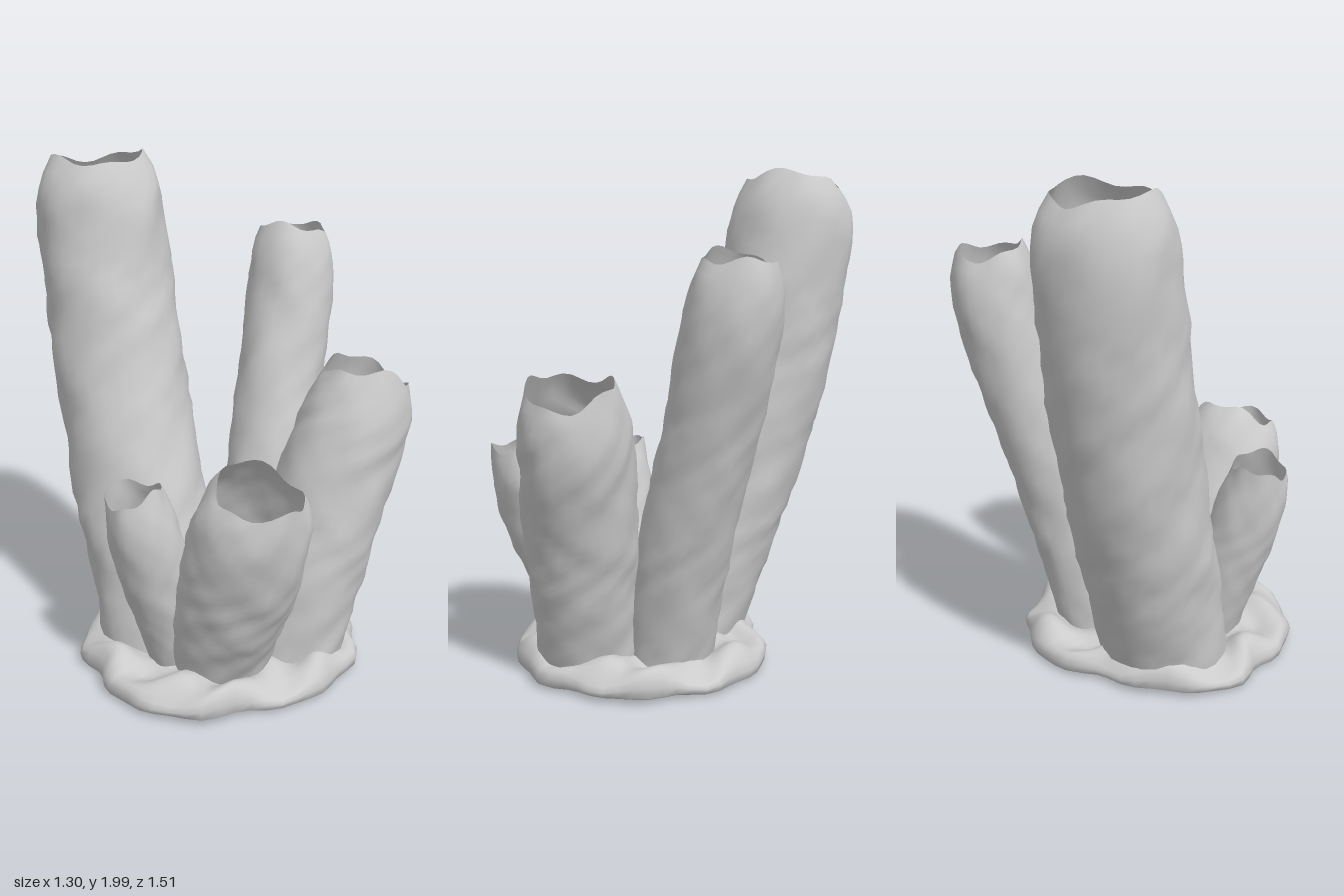
import * as THREE from 'three';

const material = new THREE.MeshStandardMaterial({ color: 0xcccccc, side: THREE.DoubleSide });
const V = (x, y, z) => new THREE.Vector3(x, y, z);

// Closed-around surface: point(v, angle) for v in 0..1, wrapped so normals stay smooth
function loftMesh(name, rings, sides, point) {
  const positions = [], index = [];
  for (let i = 0; i <= rings; i++) {
    for (let j = 0; j < sides; j++) {
      positions.push(...point(i / rings, (j / sides) * Math.PI * 2).toArray());
      if (i === rings) continue;
      const a = i * sides + j, b = i * sides + (j + 1) % sides;
      index.push(a, a + sides, b, b, a + sides, b + sides);
    }
  }
  const geometry = new THREE.BufferGeometry();
  geometry.setAttribute('position', new THREE.Float32BufferAttribute(positions, 3));
  geometry.setIndex(index);
  geometry.computeVertexNormals();
  const mesh = new THREE.Mesh(geometry, material);
  mesh.name = name;
  return mesh;
}

// Organic dimples, periodic around the angle and with no spiral drift
const lumps = (a, h, s) =>
  0.5 * Math.sin(3 * a + s + Math.sin(7 * h)) * Math.sin(11 * h + s) +
  0.5 * Math.sin(5 * a + 2 * s + 2 * Math.sin(9 * h + s)) * Math.cos(19 * h + 2 * s) +
  0.5 * Math.sin(8 * a + 3 * s + 2 * Math.sin(13 * h)) * Math.sin(31 * h) +
  0.2 * Math.sin(2 * a + s + 3 * Math.sin(6 * h));

// Hollow tube: swells along its path and draws in to an open, wavy mouth
function tube({ name, path, radii, wave, seed }) {
  const curve = new THREE.CatmullRomCurve3(path.map(p => V(...p)));
  const profile = new THREE.SplineCurve(radii.map(([t, r]) => new THREE.Vector2(t, r)));
  const samples = profile.getPoints(80);
  const radiusAt = t => {
    const k = Math.max(1, samples.findIndex(p => p.x >= t - 1e-6));
    const a = samples[k - 1], b = samples[k];
    return THREE.MathUtils.mapLinear(t, a.x, b.x, a.y, b.y);
  };
  const length = curve.getLength();
  return loftMesh(name, 34, 32, (t, a) => {
    const centre = curve.getPointAt(t);
    // Sections lie flat at the foot and turn square to the path higher up
    const axis = V(0, 1, 0).lerp(curve.getTangentAt(t), THREE.MathUtils.smoothstep(t, 0, 0.5)).normalize();
    const side = V(0, 0, 1).cross(axis).negate().normalize();
    const front = side.clone().cross(axis);
    const r = radiusAt(t) * (1 + 0.04 * lumps(a, t * length, seed));
    const rim = wave * t ** 12 * (Math.sin(2 * a + seed) + 0.5 * Math.sin(5 * a + 2 * seed));
    return centre.addScaledVector(side, -r * Math.cos(a))
      .addScaledVector(front, -r * Math.sin(a)).addScaledVector(axis, rim);
  });
}

const tubes = [
  { name: 'tallTube', seed: 1, wave: 0.02,
    path: [[-0.24, 0.05, -0.06], [-0.245, 0.5, -0.2], [-0.245, 1.1, -0.38], [-0.245, 1.7, -0.5], [-0.25, 1.96, -0.515]],
    radii: [[0, 0.255], [0.3, 0.267], [0.6, 0.264], [0.87, 0.255], [0.95, 0.235], [1, 0.185]] },
  { name: 'slenderTube', seed: 2.3, wave: 0.018,
    path: [[0.13, 0.05, 0.03], [0.235, 0.5, -0.015], [0.36, 1, -0.105], [0.465, 1.42, -0.172], [0.487, 1.66, -0.198]],
    radii: [[0, 0.175], [0.3, 0.18], [0.6, 0.18], [0.85, 0.18], [0.95, 0.162], [1, 0.133]] },
  { name: 'leaningTube', seed: 4.1, wave: 0.028,
    path: [[0.1, 0.04, 0.34], [0.165, 0.35, 0.355], [0.275, 0.75, 0.375], [0.36, 1, 0.39], [0.41, 1.195, 0.4]],
    radii: [[0, 0.2], [0.3, 0.218], [0.6, 0.222], [0.82, 0.215], [0.93, 0.19], [1, 0.16]] },
  { name: 'frontTube', seed: 4.7, wave: 0.026,
    path: [[-0.21, 0.05, 0.29], [-0.215, 0.3, 0.36], [-0.218, 0.6, 0.475], [-0.22, 0.78, 0.54], [-0.22, 0.895, 0.58]],
    radii: [[0, 0.185], [0.3, 0.217], [0.6, 0.225], [0.82, 0.215], [0.93, 0.19], [1, 0.16]] },
  { name: 'smallTube', seed: 5.4, wave: 0.02,
    path: [[-0.31, 0.05, 0.18], [-0.37, 0.3, 0.185], [-0.45, 0.55, 0.195], [-0.5, 0.73, 0.2], [-0.52, 0.83, 0.195]],
    radii: [[0, 0.12], [0.3, 0.135], [0.6, 0.14], [0.82, 0.133], [1, 0.105]] },
];

// Crusty foot: underside lip, rounded edge, then a rumpled top
function foot() {
  const section = new THREE.CatmullRomCurve3([
    V(0.83, 0.06, 0), V(0.89, 0.03, 0), V(0.98, 0.02, 0), V(1, 0.055, 0), V(0.95, 0.095, 0),
    V(0.85, 0.115, 0), V(0.68, 0.1, 0), V(0.45, 0.115, 0), V(0, 0.13, 0)]);
  return loftMesh('crustyFoot', 36, 56, (t, a) => {
    const p = section.getPointAt(t);
    const square = 1 + 0.025 * (1 - Math.cos(4 * a));
    const edge = square * (1 + 0.022 * Math.sin(5 * a + 1) + 0.018 * Math.sin(9 * a) + 0.016 * Math.sin(14 * a + 2));
    const r = Math.max(p.x, 0) * edge;
    const rumple = THREE.MathUtils.smoothstep(p.y, 0.02, 0.11) * THREE.MathUtils.smoothstep(p.x, 0.3, 0.8) *
      0.02 * (Math.sin(6 * a + 8 * p.x) + Math.sin(9 * a - 12 * p.x + 1));
    const sag = 0.008 * Math.sin(3 * a + 1) * p.x;
    // The hollow underneath sits towards the back right
    const shift = 0.04 * (1 - THREE.MathUtils.smoothstep(t, 0, 0.1));
    return V(-0.088 - shift + 0.555 * r * Math.cos(a), p.y + rumple + sag, 0.13 - shift + 0.505 * r * Math.sin(a));
  });
}

export function createModel() {
  const model = new THREE.Group();
  model.name = 'tubeSponge';
  model.add(foot(), ...tubes.map(tube));
  return model;
}
